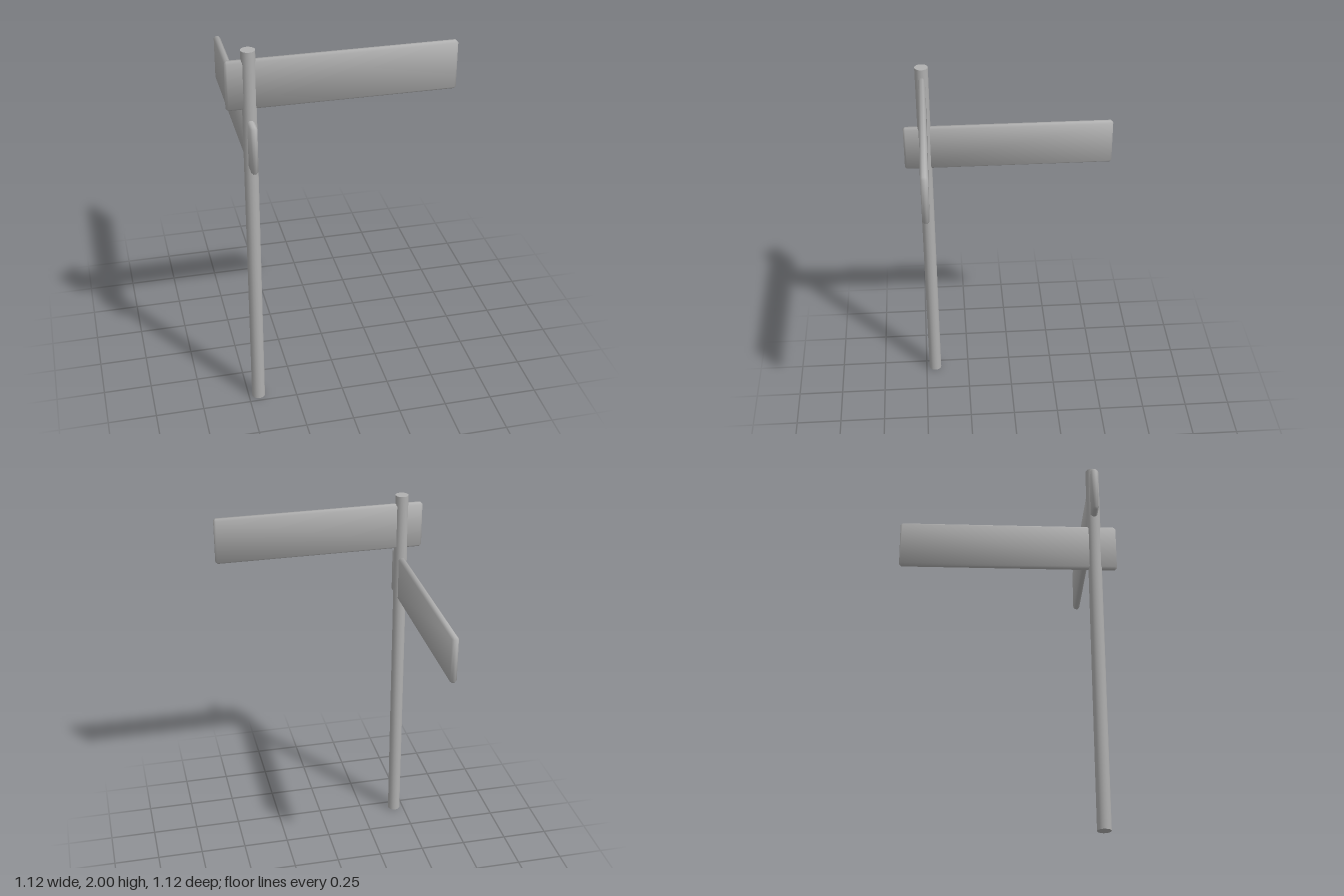
import * as THREE from 'three';
import { ConvexGeometry } from 'three/addons/geometries/ConvexGeometry.js';

const LENGTH = 1.12, HEIGHT = 0.25, THICK = 0.035, BEVEL = 0.011;

// Bevelled board with softly averaged normals
function boardGeometry() {
  const half = [LENGTH / 2, HEIGHT / 2, THICK / 2];
  const points = [];
  for (let face = 0; face < 3; face++) {
    for (const sx of [-1, 1]) for (const sy of [-1, 1]) for (const sz of [-1, 1]) {
      const p = [sx, sy, sz].map((s, i) => s * (half[i] - (i === face ? 0 : BEVEL)));
      points.push(new THREE.Vector3(...p));
    }
  }
  const geometry = new ConvexGeometry(points);
  const pos = geometry.attributes.position;
  const n = new THREE.Vector3();
  for (let i = 0; i < pos.count; i++) {
    const p = [pos.getX(i), pos.getY(i), pos.getZ(i)];
    n.set(...p.map((v, k) => Math.sign(v) * (Math.abs(v) > half[k] - BEVEL / 2 ? 2.98 : 1.28))).normalize();
    geometry.attributes.normal.setXYZ(i, n.x, n.y, n.z);
  }
  return geometry;
}

export function createModel() {
  const model = new THREE.Group();
  model.name = 'signpost';
  const grey = new THREE.MeshStandardMaterial({ color: 0xb0b0b0 });
  grey.name = 'grey';

  // Round post in the front corner
  const post = new THREE.Mesh(new THREE.CylinderGeometry(0.035, 0.035, 2, 16), grey);
  post.name = 'post';
  post.position.set(-0.448, 1, 0.448);
  model.add(post);

  // Two boards at right angles, both passing through the post
  const geometry = boardGeometry();
  const upper = new THREE.Mesh(geometry, grey);
  upper.name = 'upperBoard';
  upper.position.set(0, 1.828, 0.448);
  const lower = new THREE.Mesh(geometry, grey);
  lower.name = 'lowerBoard';
  lower.position.set(-0.448, 1.528, 0);
  lower.rotation.y = Math.PI / 2;
  model.add(upper, lower);
  return model;
}
